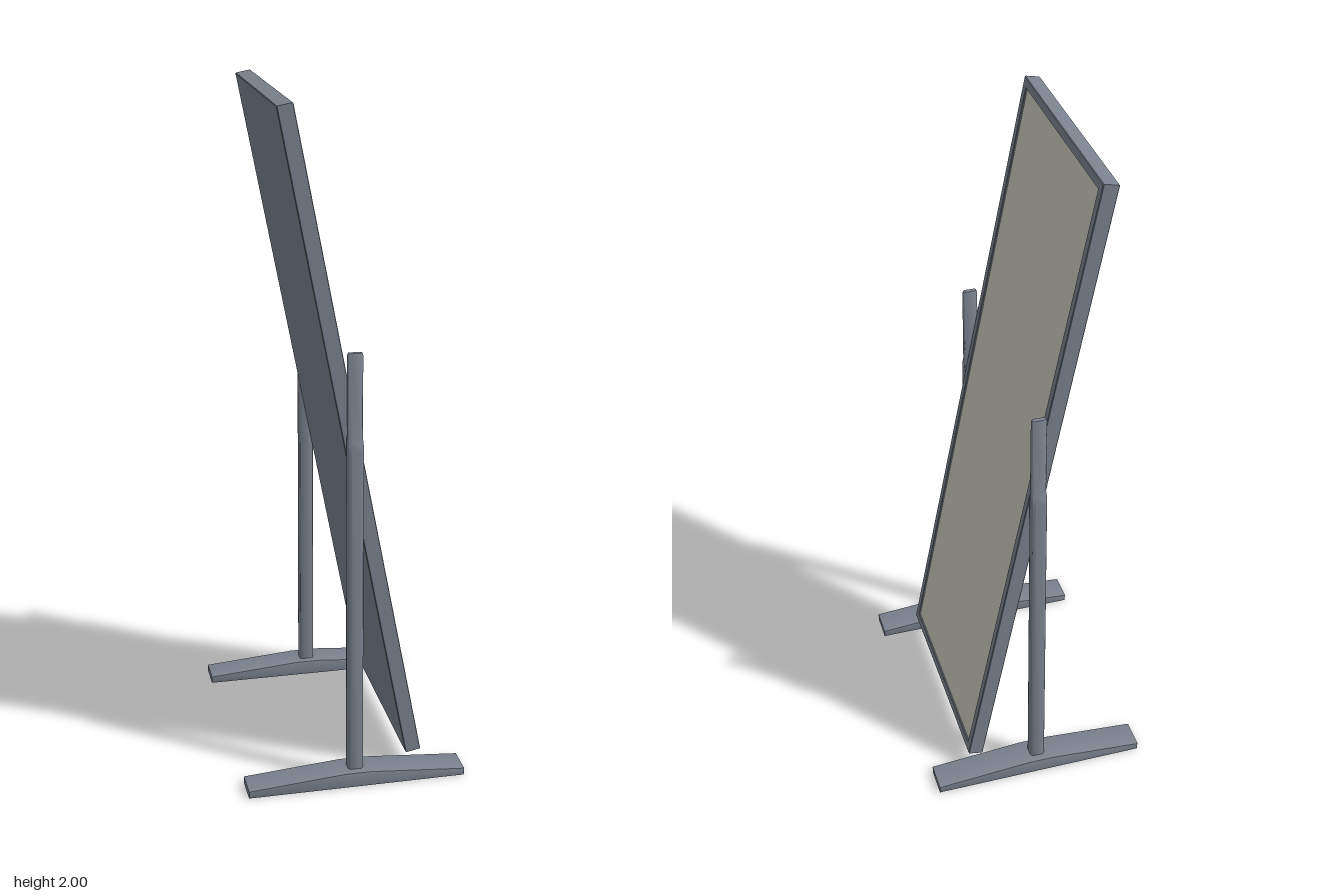
import * as THREE from 'three';
import { toCreasedNormals } from 'three/addons/utils/BufferGeometryUtils.js';

const metal = new THREE.MeshStandardMaterial({ color: 0x7b838f });
const glass = new THREE.MeshStandardMaterial({ color: 0xc9cabc });

function mesh(name, geometry, material = metal) {
  const m = new THREE.Mesh(geometry, material);
  m.name = name;
  return m;
}

function rect(shape, w, h) {
  shape.moveTo(-w / 2, -h / 2);
  shape.lineTo(w / 2, -h / 2);
  shape.lineTo(w / 2, h / 2);
  shape.lineTo(-w / 2, h / 2);
  shape.closePath();
  return shape;
}

function roundedRect(w, h, r) {
  const s = new THREE.Shape();
  s.absarc(w / 2 - r, h / 2 - r, r, 0, Math.PI / 2);
  s.absarc(-w / 2 + r, h / 2 - r, r, Math.PI / 2, Math.PI);
  s.absarc(-w / 2 + r, -h / 2 + r, r, Math.PI, Math.PI * 1.5);
  s.absarc(w / 2 - r, -h / 2 + r, r, Math.PI * 1.5, Math.PI * 2);
  s.closePath();
  return s;
}

// Tapered post: a rounded section swept through [y, inner z, outer z, width scale]
function postGeometry() {
  const levels = [
    [0.035, 0.345, 0.390, 1],
    [1.03, 0.337, 0.370, 1],
    [1.05, 0.337, 0.368, 1],
    [1.07, 0.338, 0.360, 0.95],
    [1.308, 0.338, 0.358, 0.95],
    [1.315, 0.341, 0.355, 0.85],
  ];
  const depth = levels.length - 1;
  const g = new THREE.ExtrudeGeometry(roundedRect(0.046, 0.04, 0.011), {
    depth, steps: depth, bevelEnabled: false, curveSegments: 4,
  });
  const p = g.attributes.position;
  for (let i = 0; i < p.count; i++) {
    const [y, zi, zo, sx] = levels[Math.round(p.getZ(i))];
    p.setXYZ(i, p.getX(i) * sx, y, (zi + zo) / 2 - p.getY(i) * (zo - zi) / 0.04);
  }
  return toCreasedNormals(g, 0.6);
}

// Foot: low gabled bar, flat underneath
function footGeometry() {
  const b = 0.003;
  const s = new THREE.Shape();
  s.moveTo(-0.325 + b, b);
  s.lineTo(0.325 - b, b);
  s.lineTo(0.325 - b, 0.023 - b);
  s.lineTo(0.04, 0.046 - b);
  s.lineTo(-0.04, 0.046 - b);
  s.lineTo(-0.325 + b, 0.023 - b);
  s.closePath();
  const g = new THREE.ExtrudeGeometry(s, {
    depth: 0.092 - 2 * b, bevelThickness: b, bevelSize: b, bevelSegments: 2,
  });
  g.translate(0, 0, 0.322 + b);
  return toCreasedNormals(g, 0.5);
}

function createPanel() {
  const panel = new THREE.Group();
  panel.name = 'mirrorPanel';
  const W = 0.67, H = 1.976, T = 0.046, border = 0.027, b = 0.002;

  // Rim around the glass
  const shape = rect(new THREE.Shape(), W - 2 * b, H - 2 * b);
  shape.holes.push(rect(new THREE.Path(), W - 2 * border + 2 * b, H - 2 * border + 2 * b));
  const rim = new THREE.ExtrudeGeometry(shape, {
    depth: T - 2 * b, bevelThickness: b, bevelSize: b, bevelSegments: 1,
  });
  rim.translate(0, 0, -T / 2 + b);
  rim.rotateY(Math.PI / 2);
  panel.add(mesh('mirrorFrame', rim));

  // Back board, flush with the rim
  const back = mesh('backBoard', new THREE.BoxGeometry(0.03, H - 0.04, W - 0.04));
  back.position.x = -T / 2 + 0.015;
  panel.add(back);

  // Glass, set slightly into the rim
  const pane = mesh('mirrorGlass',
    new THREE.BoxGeometry(0.012, H - 2 * border + 0.002, W - 2 * border + 0.002), glass);
  pane.position.x = T / 2 - 0.005 - 0.006;
  panel.add(pane);

  panel.position.y = 1.025;
  panel.rotation.z = Math.atan2(0.375, 1.94);
  return panel;
}

function createStand(name) {
  const stand = new THREE.Group();
  stand.name = name;
  stand.add(mesh('post', postGeometry()), mesh('foot', footGeometry()));
  // Pivot between post and panel
  const pin = mesh('pivotPin', new THREE.CylinderGeometry(0.012, 0.012, 0.03, 16));
  pin.rotation.x = Math.PI / 2;
  pin.position.set(0, 1.025, 0.335);
  stand.add(pin);
  return stand;
}

export function createModel() {
  const model = new THREE.Group();
  model.name = 'tiltingFloorMirror';
  const frontStand = createStand('frontStand');
  const backStand = createStand('backStand');
  backStand.rotation.y = Math.PI;
  model.add(createPanel(), frontStand, backStand);
  return model;
}
